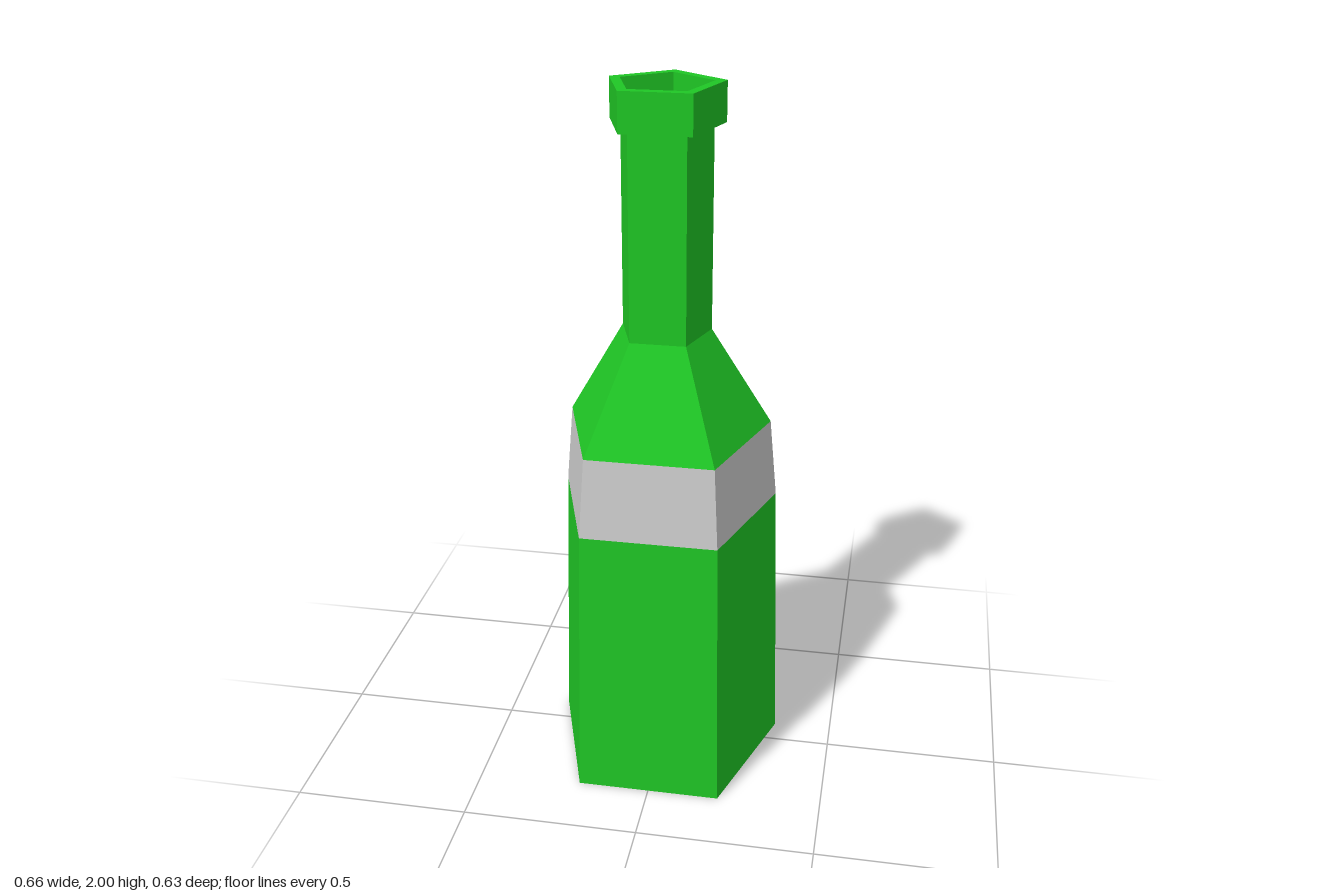
import * as THREE from 'three';

const SIDES = 5;
const CENTRE_Z = 0.032; // puts the pentagon's bounding box on z = 0

// Five-sided ring swept around y, with a flat side facing the front
function ring(name, profile, material) {
  const points = profile.map(([r, y]) => new THREE.Vector2(r, y));
  const mesh = new THREE.Mesh(new THREE.LatheGeometry(points, SIDES, Math.PI / SIDES), material);
  mesh.name = name;
  mesh.position.z = CENTRE_Z;
  return mesh;
}

export function createModel() {
  const glass = new THREE.MeshStandardMaterial({ color: 0x1fc625, flatShading: true, side: THREE.DoubleSide });
  const paper = new THREE.MeshStandardMaterial({ color: 0xcccccc, flatShading: true, side: THREE.DoubleSide });

  const bottle = new THREE.Group();
  bottle.name = 'bottle';
  bottle.add(
    // closed base and tapering body
    ring('body', [[0, 0], [0.348, 0], [0.324, 0.813]], glass),
    // plain band around the upper body
    ring('labelBand', [[0.324, 0.813], [0.302, 1.043]], paper),
    ring('shoulder', [[0.302, 1.043], [0.13, 1.33]], glass),
    ring('neck', [[0.13, 1.33], [0.13, 1.893]], glass),
    // raised collar around the open mouth
    ring('lip', [[0.13, 1.893], [0.162, 1.893], [0.162, 2], [0.13, 2], [0.13, 1.893]], glass)
  );
  return bottle;
}
